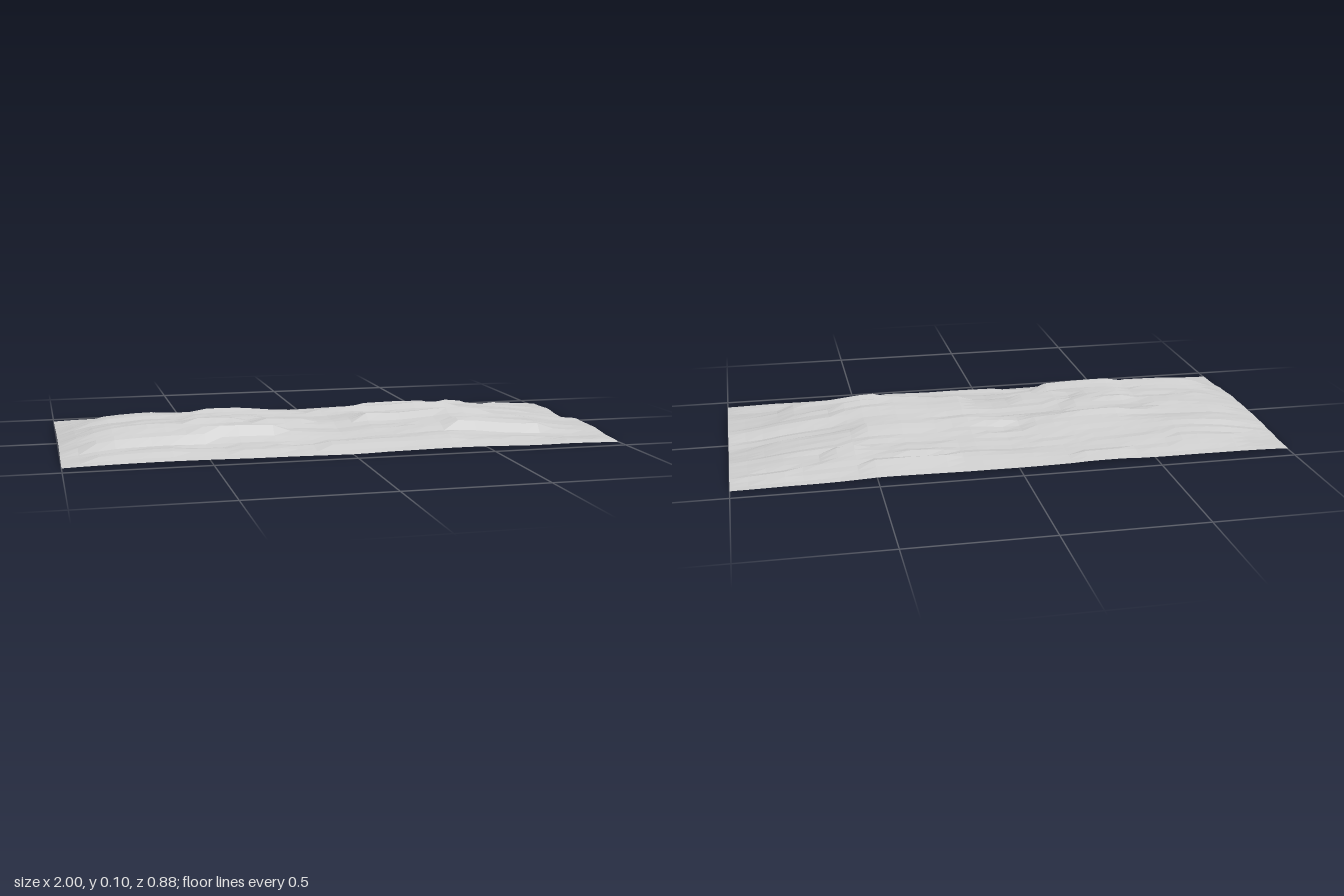
import * as THREE from 'three';

const WIDTH = 2, DEPTH = 0.88, SEGMENTS = 32;

// Height across the depth (z, y) and relative height along the length (x, factor)
const crossSection = [[-0.44, 0.012], [-0.4, 0.022], [-0.35, 0.036], [-0.3, 0.046], [-0.25, 0.054],
  [-0.2, 0.064], [-0.15, 0.072], [-0.1, 0.084], [-0.05, 0.075], [0, 0.076], [0.1, 0.083],
  [0.15, 0.083], [0.2, 0.07], [0.25, 0.066], [0.3, 0.046], [0.35, 0.034], [0.4, 0.022], [0.44, 0.008]];
const lengthProfile = [[-1, 0.28], [-0.9, 0.68], [-0.8, 0.9], [-0.65, 1], [-0.4, 0.97], [-0.2, 0.9],
  [0, 0.84], [0.12, 0.95], [0.22, 0.9], [0.4, 1.02], [0.5, 0.97], [0.6, 0.8], [0.7, 0.68],
  [0.8, 0.56], [0.9, 0.4], [1, 0.3]];

// Rock ledges: start x, end x, z of the lip, height of the step towards +z
const ledges = [[-0.88, -0.5, 0.29, 0.018], [-0.5, -0.25, 0.26, 0.022], [0.43, 0.75, 0.28, 0.02],
  [-0.08, 0.43, 0.4, 0.016], [-0.92, -0.62, 0.4, 0.012], [-0.4, -0.2, 0.39, 0.014],
  [0.12, 0.62, 0.16, 0.02], [-0.3, -0.12, 0.14, 0.014], [-0.5, -0.31, 0.04, 0.016],
  [-0.5, -0.35, 0.11, 0.014], [-0.45, -0.12, -0.09, 0.01], [0, 0.56, -0.07, 0.014],
  [0.2, 0.5, -0.35, 0.018], [-0.38, -0.25, -0.38, 0.018], [0.56, 0.68, -0.24, 0.018],
  [-0.82, -0.62, -0.33, 0.01], [0.8, 1, -0.35, 0.012], [0.43, 0.8, 0.22, 0.012],
  [0.8, 0.94, 0.42, 0.012], [0.25, 0.38, -0.23, 0.01]];

function sample(points, t) {
  for (let i = 1; i < points.length; i++) {
    const [a, va] = points[i - 1], [b, vb] = points[i];
    if (t <= b) return THREE.MathUtils.lerp(va, vb, Math.max(0, (t - a) / (b - a)));
  }
  return points[points.length - 1][1];
}

// Repeatable value noise in the range -1 to 1
function hash(i, j) {
  const s = Math.sin(i * 127.1 + j * 311.7) * 43758.5453;
  return (s - Math.floor(s)) * 2 - 1;
}
function noise(x, z) {
  const i = Math.floor(x), j = Math.floor(z);
  const u = THREE.MathUtils.smoothstep(x - i, 0, 1), v = THREE.MathUtils.smoothstep(z - j, 0, 1);
  const { lerp } = THREE.MathUtils;
  return lerp(lerp(hash(i, j), hash(i + 1, j), u), lerp(hash(i, j + 1), hash(i + 1, j + 1), u), v);
}

function ledgeHeight(x, z) {
  let h = 0;
  for (const [x0, x1, lip, step] of ledges) {
    const behind = lip - z;
    if (x < x0 || x > x1 || behind < 0 || behind > 0.1) continue;
    h = Math.max(h, step * (1 - behind / 0.1));
  }
  return h;
}

function surfaceHeight(x, z) {
  const { smoothstep } = THREE.MathUtils;
  let y = sample(crossSection, z) * sample(lengthProfile, x);
  // Hollow in the right end
  y -= 0.02 * smoothstep(x, 0.75, 1) * Math.exp(-(((z + 0.09) / 0.09) ** 2));
  // Long strata running lengthwise, fading at the rim
  const fade = Math.min(1, 0.25 + (DEPTH / 2 - Math.abs(z)) * 6, 0.25 + (1 - Math.abs(x)) * 5);
  y += fade * (0.008 * noise(x * 3 + 7, z * 16) + 0.005 * noise(x * 6, z * 36 + 5));
  y += fade * (ledgeHeight(x, z) - 0.004);
  return Math.max(0, y);
}

export function createModel() {
  const group = new THREE.Group();
  group.name = 'rockyGround';

  // Open faceted sheet of layered rock
  const grid = new THREE.PlaneGeometry(WIDTH, DEPTH, SEGMENTS, SEGMENTS).rotateX(-Math.PI / 2);
  const p = grid.attributes.position;
  for (let i = 0; i < p.count; i++) p.setY(i, surfaceHeight(p.getX(i), p.getZ(i)));
  const geometry = grid.toNonIndexed();
  geometry.computeVertexNormals();
  geometry.computeBoundingBox();
  geometry.translate(0, -geometry.boundingBox.min.y, 0);

  const material = new THREE.MeshStandardMaterial({
    color: 0xcccccc, flatShading: true, side: THREE.DoubleSide,
  });
  const sheet = new THREE.Mesh(geometry, material);
  sheet.name = 'rockSurface';
  group.add(sheet);
  return group;
}
